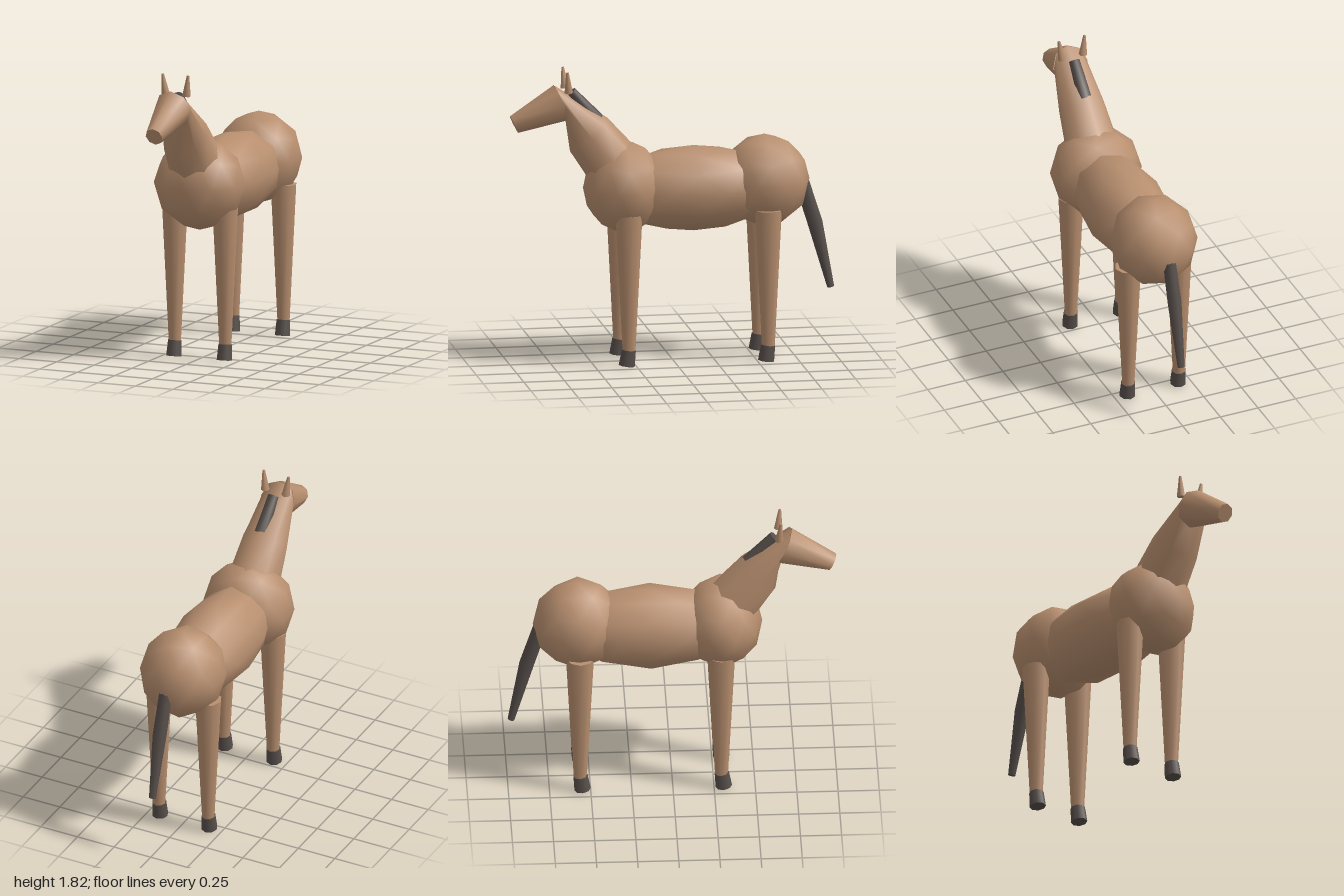
import * as THREE from 'three';

const coat = new THREE.MeshStandardMaterial({ color: 0xb88f6f });
coat.name = 'tan coat';
const dark = new THREE.MeshStandardMaterial({ color: 0x574f4b });
dark.name = 'dark hair and hoof';

function add(parent, name, geometry, material) {
  const mesh = new THREE.Mesh(geometry, material);
  mesh.name = name;
  parent.add(mesh);
  return mesh;
}

// Faceted ball with a vertex at its top, stretched to three radii
function ball(rx, ry, rz, y, z) {
  return new THREE.IcosahedronGeometry(1, 1)
    .rotateZ(-Math.atan2(0.5257, 0.8507))
    .scale(rx, ry, rz)
    .translate(0, y, z);
}

// Tube through elliptical rings; each ring is [zA, yA, zB, yB, halfWidth],
// where A and B are its two opposite edge points in the middle plane
function loft(rings, sides = 8) {
  const pos = [], idx = [];
  const ringPoints = ([zA, yA, zB, yB, w]) => {
    const start = pos.length / 3;
    for (let j = 0; j < sides; j++) {
      const a = (j / sides) * Math.PI * 2, s = Math.sin(a) / 2;
      pos.push(Math.cos(a) * w, (yA + yB) / 2 + s * (yA - yB), (zA + zB) / 2 + s * (zA - zB));
    }
    return start;
  };
  const starts = rings.map(ringPoints);
  for (let i = 0; i < starts.length - 1; i++) {
    for (let j = 0; j < sides; j++) {
      const k = (j + 1) % sides;
      const a = starts[i] + j, b = starts[i] + k, c = starts[i + 1] + k, d = starts[i + 1] + j;
      idx.push(a, b, c, a, c, d);
    }
  }
  // end caps with their own vertices, so the rims stay sharp
  const first = ringPoints(rings[0]), last = ringPoints(rings[rings.length - 1]);
  for (let j = 1; j < sides - 1; j++) {
    idx.push(first, first + j + 1, first + j, last, last + j, last + j + 1);
  }
  const g = new THREE.BufferGeometry();
  g.setAttribute('position', new THREE.Float32BufferAttribute(pos, 3));
  g.setIndex(idx);
  g.computeVertexNormals();
  return g;
}

export function createModel() {
  const model = new THREE.Group();
  model.name = 'horse';

  // Trunk
  add(model, 'barrel', ball(0.25, 0.265, 0.58, 1.065, -0.13), coat);
  add(model, 'chest', ball(0.285, 0.287, 0.25, 1.09, 0.3), coat);
  add(model, 'hindquarters', ball(0.265, 0.285, 0.277, 1.1, -0.568), coat);

  // Neck and head
  add(model, 'neck', loft([
    [0.16, 1.26, 0.48, 1.09, 0.175],
    [0.4, 1.52, 0.63, 1.32, 0.148],
    [0.725, 1.73, 0.665, 1.56, 0.105],
  ]), coat);
  add(model, 'head', loft([
    [0.73, 1.735, 0.63, 1.515, 0.115],
    [1.0, 1.55, 0.95, 1.445, 0.055],
  ]), coat);

  // Mane and tail
  add(model, 'mane', loft([
    [0.645, 1.665, 0.6, 1.71, 0.035],
    [0.47, 1.44, 0.4, 1.51, 0.048],
  ]), dark);
  add(model, 'tail', loft([
    [-0.75, 1.08, -0.835, 1.11, 0.042],
    [-0.835, 0.81, -0.925, 0.83, 0.045],
    [-0.955, 0.415, -0.997, 0.425, 0.023],
  ]), dark);

  for (const side of [1, -1]) {
    const label = side > 0 ? 'left' : 'right';

    // Ears, leaning slightly outward and forward
    const ear = add(model, label + 'Ear', new THREE.CylinderGeometry(0.008, 0.026, 0.13, 6), coat);
    ear.position.set(side * 0.077, 1.762, 0.655);
    ear.rotation.set(0.08, 0, -side * 0.12);

    // Legs with hooves tipped slightly upward at the toe
    for (const [end, z] of [['Front', 0.295], ['Back', -0.563]]) {
      const leg = new THREE.Group();
      leg.name = label + end + 'Leg';
      leg.position.set(side * 0.168, 0, z);
      model.add(leg);
      add(leg, 'shank', new THREE.CylinderGeometry(0.083, 0.04, 0.84, 8), coat).position.y = 0.527;
      const hoof = add(leg, 'hoof', new THREE.CylinderGeometry(0.044, 0.05, 0.097, 8), dark);
      hoof.position.set(0, 0.06, 0.008);
      hoof.rotation.x = -0.13;
    }
  }
  return model;
}
